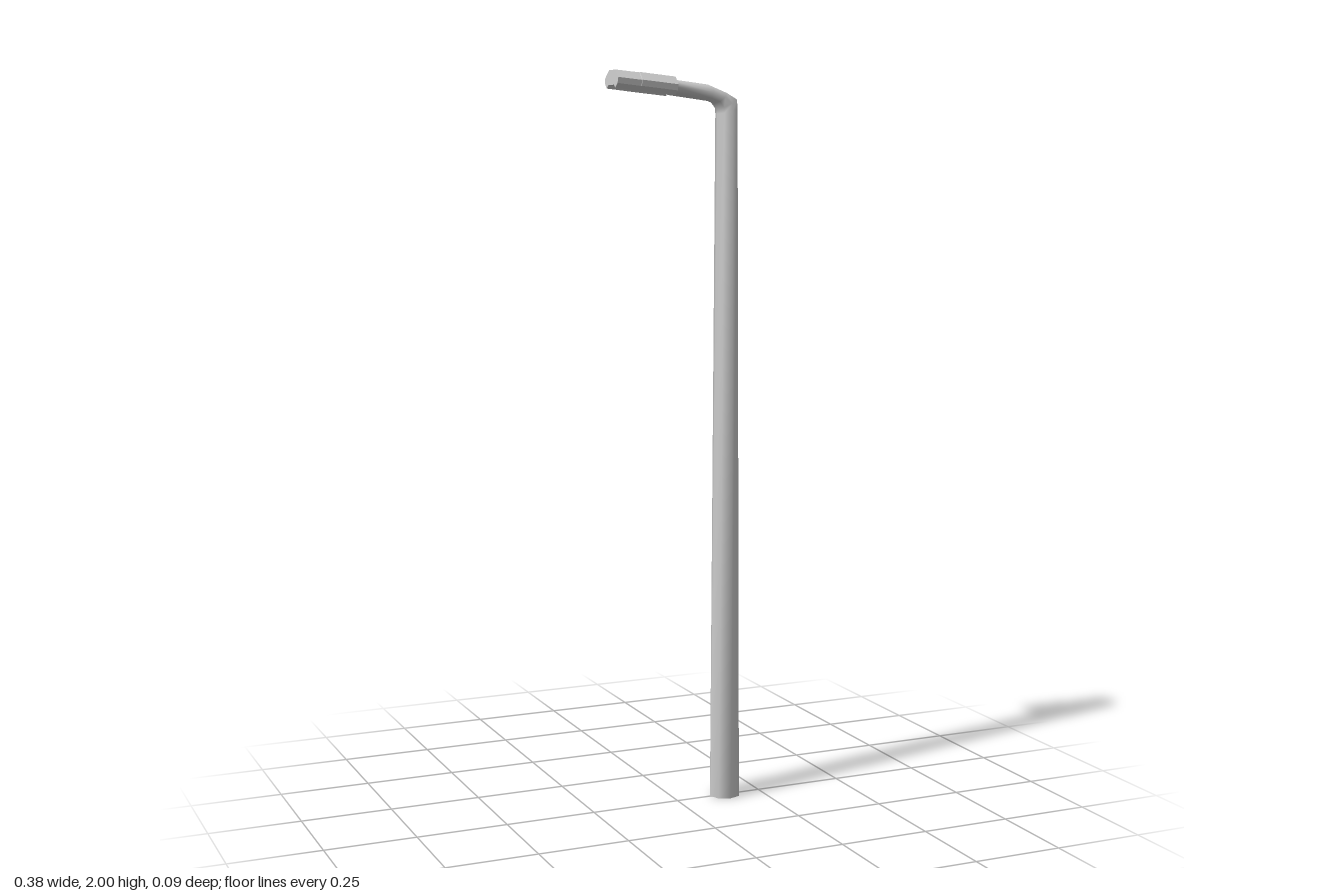
import * as THREE from 'three';

// Skins a closed profile [u, w] along sections [inner x, inner y, outer x, outer y, half width in z].
function loft(sections, profile) {
  const n = profile.length, pos = [], idx = [];
  const addRing = ([ix, iy, ox, oy, hz]) => {
    const first = pos.length / 3;
    for (const [u, w] of profile) {
      const t = (u + 1) / 2;
      pos.push(ix + (ox - ix) * t, iy + (oy - iy) * t, hz * w);
    }
    return first;
  };
  const rings = sections.map(addRing);
  for (let i = 0; i < rings.length - 1; i++) {
    for (let j = 0; j < n; j++) {
      const k = (j + 1) % n;
      const a = rings[i] + j, b = rings[i] + k, c = rings[i + 1] + j, d = rings[i + 1] + k;
      idx.push(a, c, b, b, c, d);
    }
  }
  // End caps with their own vertices, so their edges stay sharp
  [sections[0], sections[sections.length - 1]].forEach((s, end) => {
    const r = addRing(s), centre = pos.length / 3;
    pos.push((s[0] + s[2]) / 2, (s[1] + s[3]) / 2, 0);
    for (let j = 0; j < n; j++) {
      const a = r + j, b = r + (j + 1) % n;
      if (end) idx.push(centre, b, a);
      else idx.push(centre, a, b);
    }
  });
  const g = new THREE.BufferGeometry();
  g.setAttribute('position', new THREE.Float32BufferAttribute(pos, 3));
  g.setIndex(idx);
  g.computeVertexNormals();
  return g;
}

export function createModel() {
  const group = new THREE.Group();
  group.name = 'streetLamp';
  const add = (name, geometry, flatShading) => {
    const mesh = new THREE.Mesh(geometry, new THREE.MeshStandardMaterial({ color: 0xcccccc, flatShading }));
    mesh.name = name;
    group.add(mesh);
  };

  // Pole that narrows upward and bends over into a short arm
  const octagon = Array.from({ length: 8 }, (_, i) => {
    const a = (i * Math.PI) / 4;
    return [Math.cos(a), Math.sin(a)];
  });
  add('poleAndArm', loft([
    [0.10, 0, 0.188, 0, 0.042],
    [0.116, 1.89, 0.17, 1.905, 0.042],
    [0.115, 1.902, 0.168, 1.932, 0.042],
    [0.106, 1.917, 0.135, 1.949, 0.042],
    [0.085, 1.924, 0.088, 1.967, 0.042],
    [-0.03, 1.938, -0.026, 1.98, 0.042],
  ], octagon), false);

  // Faceted lamp head with a recessed underside
  const half = [[1, 0.5], [0.15, 1], [-0.5, 0.95], [-1, 0.65], [-0.65, 0.5]];
  const headProfile = [...half, ...half.map(([u, w]) => [u, -w]).reverse()];
  add('lampHead', loft([
    [-0.02, 1.936, -0.016, 1.985, 0.047],
    [-0.122, 1.946, -0.118, 1.995, 0.047],
    [-0.123, 1.946, -0.119, 1.994, 0.046],
    [-0.19, 1.953, -0.186, 2.0, 0.046],
  ], headProfile), true);

  return group;
}
